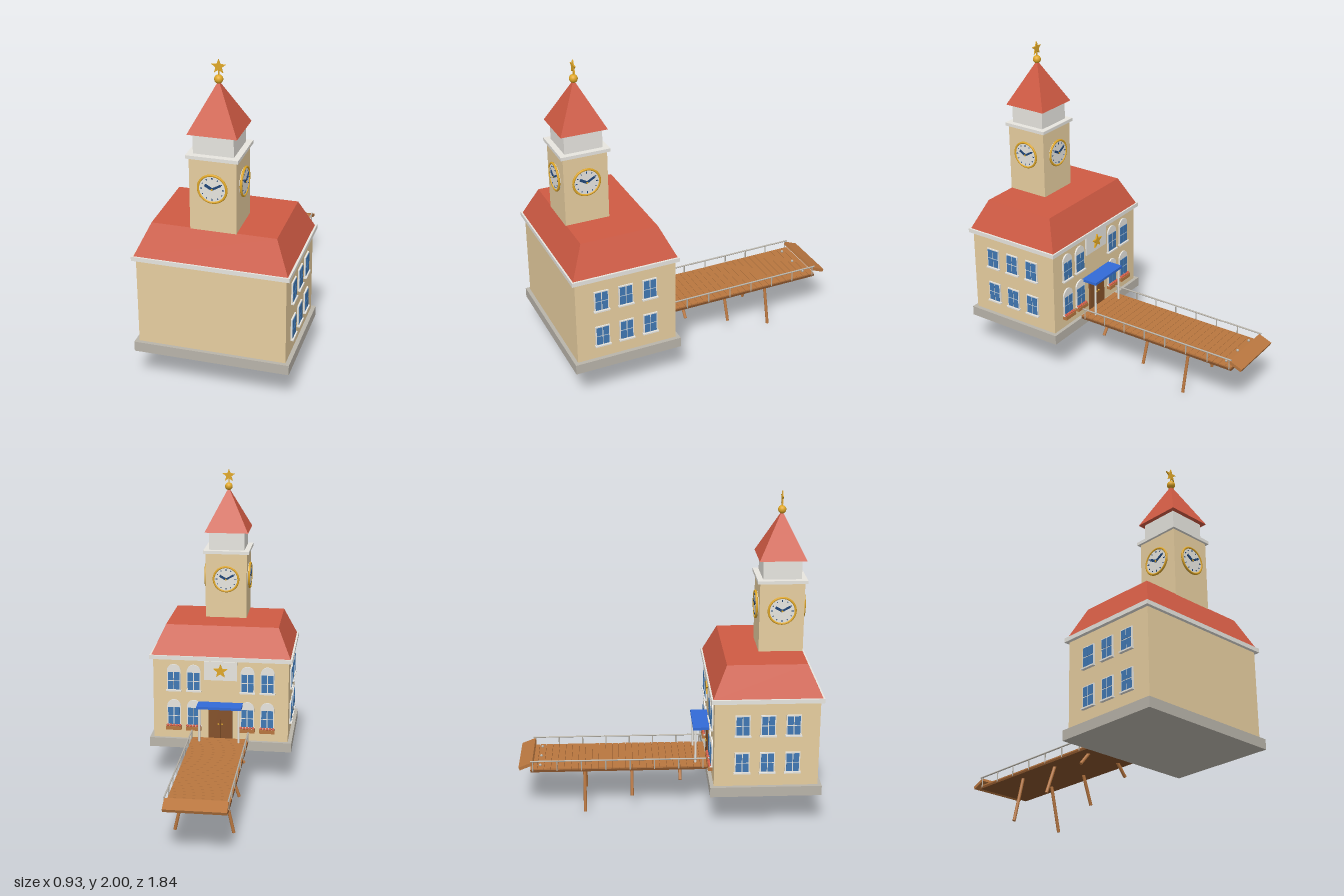
import * as THREE from 'three';

const paint = (name, color) => {
  const m = new THREE.MeshStandardMaterial({ color });
  m.name = name;
  return m;
};
const M = {
  wall: paint('sand plaster', 0xefd5a5),
  stone: paint('grey stone', 0xb9b4aa),
  trim: paint('pale trim', 0xebe9e3),
  roof: paint('red roof', 0xcf5a43),
  wood: paint('wood', 0xb8763f),
  dark: paint('dark wood', 0x84512a),
  awning: paint('bright blue', 0x326bd8),
  glass: paint('window blue', 0x4078b4),
  gold: paint('gold', 0xe0a828),
  navy: paint('clock blue', 0x1f4577),
};

function add(parent, name, geo, mat, x = 0, y = 0, z = 0) {
  const mesh = new THREE.Mesh(geo, mat);
  mesh.name = name;
  mesh.position.set(x, y, z);
  parent.add(mesh);
  return mesh;
}
const box = (parent, name, mat, w, h, d, x, y, z) =>
  add(parent, name, new THREE.BoxGeometry(w, h, d), mat, x, y, z);

function group(parent, name, x = 0, y = 0, z = 0, turn = 0) {
  const g = new THREE.Group();
  g.name = name;
  g.position.set(x, y, z);
  g.rotation.y = turn;
  parent.add(g);
  return g;
}

// round bar between two points
function bar(parent, name, mat, a, b, r) {
  const p = new THREE.Vector3(...a), q = new THREE.Vector3(...b);
  const d = q.clone().sub(p);
  const m = add(parent, name, new THREE.CylinderGeometry(r, r, d.length(), 8), mat);
  m.position.copy(p).add(q).multiplyScalar(0.5);
  m.quaternion.setFromUnitVectors(new THREE.Vector3(0, 1, 0), d.normalize());
}

// box whose top is narrowed to w2 x d2
function hipped(w, d, w2, d2, h) {
  const g = new THREE.BoxGeometry(w, h, d), p = g.attributes.position;
  for (let i = 0; i < p.count; i++)
    if (p.getY(i) > 0) {
      p.setX(i, Math.sign(p.getX(i)) * w2 / 2);
      p.setZ(i, Math.sign(p.getZ(i)) * d2 / 2);
    }
  g.computeVertexNormals();
  return g;
}

function starGeometry(r, depth) {
  const s = new THREE.Shape();
  for (let i = 0; i < 10; i++) {
    const a = Math.PI / 2 + i * Math.PI / 5, k = i % 2 ? r * 0.42 : r;
    s[i ? 'lineTo' : 'moveTo'](Math.cos(a) * k, Math.sin(a) * k);
  }
  s.closePath();
  return new THREE.ExtrudeGeometry(s, { depth, bevelEnabled: false }).translate(0, 0, -depth / 2);
}

// four-pane window facing local +z, optionally with an arched head
function addWindow(parent, x, y, arched) {
  const w = group(parent, 'window', x, y, 0);
  box(w, 'windowFrame', M.trim, 0.09, 0.13, 0.012, 0, 0, 0.003);
  for (const sx of [-1, 1])
    for (const sy of [-1, 1])
      box(w, 'windowPane', M.glass, 0.035, 0.055, 0.004, sx * 0.0205, sy * 0.0305, 0.01);
  box(w, 'windowSill', M.trim, 0.1, 0.009, 0.022, 0, -0.067, 0.008);
  if (arched) {
    const head = new THREE.CylinderGeometry(0.045, 0.045, 0.012, 24, 1, false, Math.PI / 2, Math.PI);
    add(w, 'windowArch', head.rotateX(Math.PI / 2), M.trim, 0, 0.065, 0.003);
  }
}

// clock facing local +z
function addClock(parent, turn) {
  const c = group(group(parent, 'clockSide', 0, 1.3, 0.69, turn), 'clock', 0, 0, 0.135);
  add(c, 'clockFace', new THREE.CylinderGeometry(0.081, 0.081, 0.014, 40).rotateX(Math.PI / 2), M.trim, 0, 0, 0.005);
  add(c, 'clockRing', new THREE.TorusGeometry(0.081, 0.007, 10, 40), M.gold, 0, 0, 0.01);
  for (let i = 0; i < 12; i++) {
    const a = i * Math.PI / 6;
    const t = box(c, 'hourMark', M.navy, 0.005, i % 3 ? 0.007 : 0.012, 0.004,
      Math.sin(a) * 0.063, Math.cos(a) * 0.063, 0.013);
    t.rotation.z = -a;
  }
  for (const [len, a, w] of [[0.05, -Math.PI / 3, 0.015], [0.06, Math.PI / 3, 0.012]]) {
    const h = box(c, 'clockHand', M.navy, w, len, 0.005, Math.sin(a) * len * 0.45, Math.cos(a) * len * 0.45, 0.015);
    h.rotation.z = -a;
  }
  add(c, 'clockHub', new THREE.CylinderGeometry(0.006, 0.006, 0.008, 12).rotateX(Math.PI / 2), M.gold, 0, 0, 0.016);
}

function addBuilding(root) {
  const b = group(root, 'building');
  const cz = 0.583;
  box(b, 'plinth', M.stone, 0.93, 0.062, 0.675, 0, 0.26, cz);
  box(b, 'mainWalls', M.wall, 0.88, 0.545, 0.63, 0, 0.56, cz);
  box(b, 'eavesCornice', M.trim, 0.925, 0.026, 0.67, 0, 0.842, cz);
  add(b, 'mainRoof', hipped(0.9, 0.65, 0.73, 0.48, 0.185), M.roof, 0, 0.9475, cz);

  // side windows
  for (const s of [-1, 1]) {
    const side = group(b, 'sideWindows', s * 0.44, 0, 0.588, s * Math.PI / 2);
    for (const x of [-0.152, 0, 0.152])
      for (const y of [0.445, 0.685]) addWindow(side, x, y, false);
  }

  // entrance wall: arched windows, flower boxes, door, star plaque
  const e = group(b, 'entranceWall', 0, 0, 0.268, Math.PI);
  for (const x of [-0.305, -0.175, 0.175, 0.305]) {
    for (const y of [0.445, 0.685]) addWindow(e, x, y, true);
    box(e, 'flowerBox', M.wood, 0.1, 0.024, 0.028, x, 0.364, 0.015);
    for (let i = -2; i <= 2; i++)
      add(e, 'flower', new THREE.SphereGeometry(0.01, 8, 6), M.roof, x + i * 0.02, 0.38, 0.017);
  }
  box(e, 'starPlaque', M.trim, 0.215, 0.125, 0.012, 0, 0.76, 0.004);
  add(e, 'wallStar', starGeometry(0.048, 0.012), M.gold, 0, 0.762, 0.014);
  for (const s of [-1, 1]) {
    box(e, 'doorLeaf', M.dark, 0.077, 0.23, 0.012, s * 0.039, 0.405, 0.006);
    add(e, 'doorKnob', new THREE.SphereGeometry(0.006, 8, 6), M.gold, s * 0.012, 0.4, 0.015);
    bar(e, 'awningPost', M.trim, [s * 0.128, 0.3, 0.09], [s * 0.128, 0.535, 0.09], 0.007);
  }
  box(e, 'awning', M.awning, 0.29, 0.017, 0.108, 0, 0.538, 0.052);
}

function addTower(root) {
  const t = group(root, 'tower');
  const z = 0.69;
  box(t, 'towerShaft', M.wall, 0.27, 0.44, 0.27, 0, 1.25, z);
  box(t, 'towerCornice', M.trim, 0.3, 0.02, 0.3, 0, 1.477, z);
  box(t, 'belfry', M.trim, 0.232, 0.125, 0.232, 0, 1.55, z);
  for (let i = 0; i < 4; i++) addClock(t, i * Math.PI / 2);
  const cone = new THREE.ConeGeometry(0.142 * Math.SQRT2, 0.275, 4).rotateY(Math.PI / 4).toNonIndexed();
  cone.computeVertexNormals();
  add(t, 'spire', cone, M.roof, 0, 1.742, z);
  add(t, 'finialBall', new THREE.SphereGeometry(0.025, 20, 14), M.gold, 0, 1.887, z);
  bar(t, 'finialRod', M.gold, [0, 1.9, z], [0, 1.945, z], 0.004);
  add(t, 'finialStar', starGeometry(0.043, 0.007), M.gold, 0, 1.957, z);
}

function addPier(root) {
  const p = group(root, 'pier');
  box(p, 'deckBase', M.dark, 0.37, 0.014, 1.1, 0, 0.29, -0.3);
  const n = 26, step = 1.1 / n;
  for (let i = 0; i < n; i++)
    box(p, 'plank', M.wood, 0.368, 0.011, step - 0.002, 0, 0.3, 0.25 - (i + 0.5) * step);

  // tilted end flap and its fixings
  const flap = box(p, 'endFlap', M.wood, 0.37, 0.02, 0.092, 0, 0.324, -0.876);
  flap.rotation.x = -0.38;
  for (const x of [-0.138, 0, 0.138])
    add(p, 'deckKnob', new THREE.SphereGeometry(0.009, 10, 8), M.stone, x, 0.311, -0.79);

  for (const s of [-1, 1]) {
    const x = s * 0.184;
    bar(p, 'handRail', M.stone, [x, 0.356, 0.25], [x, 0.356, -0.85], 0.005);
    for (let i = 0; i < 8; i++) {
      const z = 0.222 - i * 0.151;
      bar(p, 'railPost', M.stone, [x, 0.29, z], [x, 0.356, z], 0.004);
    }
    // splayed legs, longer towards the far end
    for (const [z, y] of [[0.08, 0.21], [-0.22, 0.107], [-0.515, 0.003]])
      bar(p, 'pierLeg', M.wood, [s * 0.178, y, z], [s * 0.115, 0.287, z], 0.01);
  }
}

export function createModel() {
  const root = new THREE.Group();
  root.name = 'clockTowerHall';
  addBuilding(root);
  addTower(root);
  addPier(root);
  return root;
}
